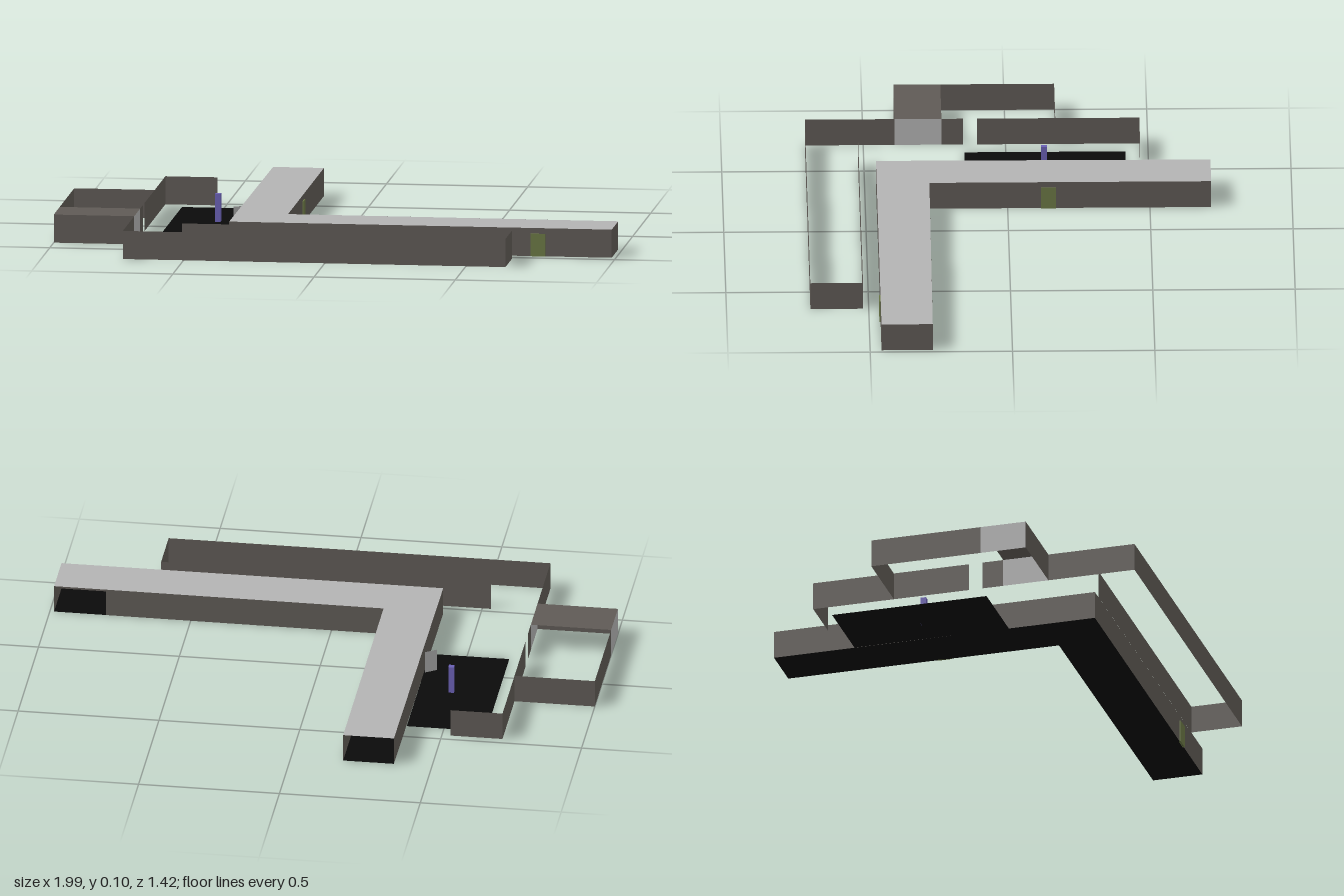
import * as THREE from 'three';

const H = 0.1; // storey height

function mat(name, color) {
  const m = new THREE.MeshStandardMaterial({ color, side: THREE.DoubleSide });
  m.name = name;
  return m;
}

export function createModel() {
  const model = new THREE.Group();
  model.name = 'floorPlan';
  const wallMat = mat('wallGrey', 0x5f5a55);
  const lightMat = mat('lightGrey', 0xb3b3b3);
  const floorMat = mat('blackFloor', 0x0a0a0a);
  const doorMat = mat('doorGreen', 0x6b7845);
  const postMat = mat('postPurple', 0x6a60b4);

  const add = (name, geometry, material, x, y, z) => {
    const mesh = new THREE.Mesh(geometry, material);
    mesh.name = name;
    mesh.position.set(x, y, z);
    model.add(mesh);
    return mesh;
  };

  // Upright wall panel between two plan points
  const wall = (name, x0, z0, x1, z1, material = wallMat, h = H) => {
    const mesh = add(name, new THREE.PlaneGeometry(Math.hypot(x1 - x0, z1 - z0), h),
      material, (x0 + x1) / 2, h / 2, (z0 + z1) / 2);
    mesh.rotation.y = -Math.atan2(z1 - z0, x1 - x0);
  };

  // Chain of wall panels through plan points
  const wallRun = (name, points) => {
    for (let i = 1; i < points.length; i++) wall(name, ...points[i - 1], ...points[i]);
  };

  // Flat polygon at height y, given as plan points
  const slab = (name, points, y, material) => {
    const shape = new THREE.Shape(points.map(([x, z]) => new THREE.Vector2(x, -z)));
    const geometry = new THREE.ShapeGeometry(shape).rotateX(-Math.PI / 2);
    add(name, geometry, material, 0, y, 0);
  };
  const rect = (x0, z0, x1, z1) => [[x0, z1], [x1, z1], [x1, z0], [x0, z0]];

  // Roofed L corridor, open at the far end and beside the right end
  const ell = [[-0.37, 0.46], [0.985, 0.46], [0.985, 0.28],
    [-0.185, 0.275], [-0.185, -0.715], [-0.365, -0.715]];
  slab('corridorRoof', ell, H, lightMat);
  slab('corridorFloor', ell, 0, floorMat);
  wallRun('corridorOuterWall', [[-0.365, -0.715], [-0.37, 0.46], [0.985, 0.46], [0.985, 0.28]]);
  wallRun('corridorInnerWall', [[-0.185, -0.715], [-0.185, 0.275], [0.8, 0.279]]);

  // Doors set into the corridor walls
  add('frontDoor', new THREE.BoxGeometry(0.052, 0.08, 0.008), doorMat, 0.724, 0.04, 0.46);
  add('sideDoor', new THREE.BoxGeometry(0.008, 0.08, 0.052), doorMat, -0.185, 0.04, -0.143);
  wall('openDoor', -0.372, 0.0, -0.41, 0.025, lightMat, 0.08);

  // Black room floor with a post
  slab('roomFloor', rect(-0.65, -0.42, -0.368, 0.145), 0, floorMat);
  add('post', new THREE.BoxGeometry(0.02, H, 0.02), postMat, -0.485, H / 2, -0.132);

  // Open outer passage, with a doorway gap into the side room
  wallRun('passageBackWall', [[-0.53, -0.47], [-0.715, -0.47], [-0.715, 0.1]]);
  wall('passageSideWall', -0.715, 0.15, -0.715, 0.225);
  wallRun('passageFrontWall', [[-0.715, 0.39], [-0.715, 0.705], [0.64, 0.705], [0.64, 0.52], [-0.53, 0.52]]);

  // Side room, with a covered bay at its front
  wallRun('sideRoomWall', [[-0.715, -0.175], [-1, -0.175], [-1, 0.225]]);
  wall('sideRoomFrontWall', -1, 0.39, -0.715, 0.39);
  slab('bayRoof', rect(-1, 0.225, -0.715, 0.39), H, wallMat);
  for (const x of [-1, -0.715]) wall('baySide', x, 0.225, x, 0.39, lightMat);

  return model;
}
